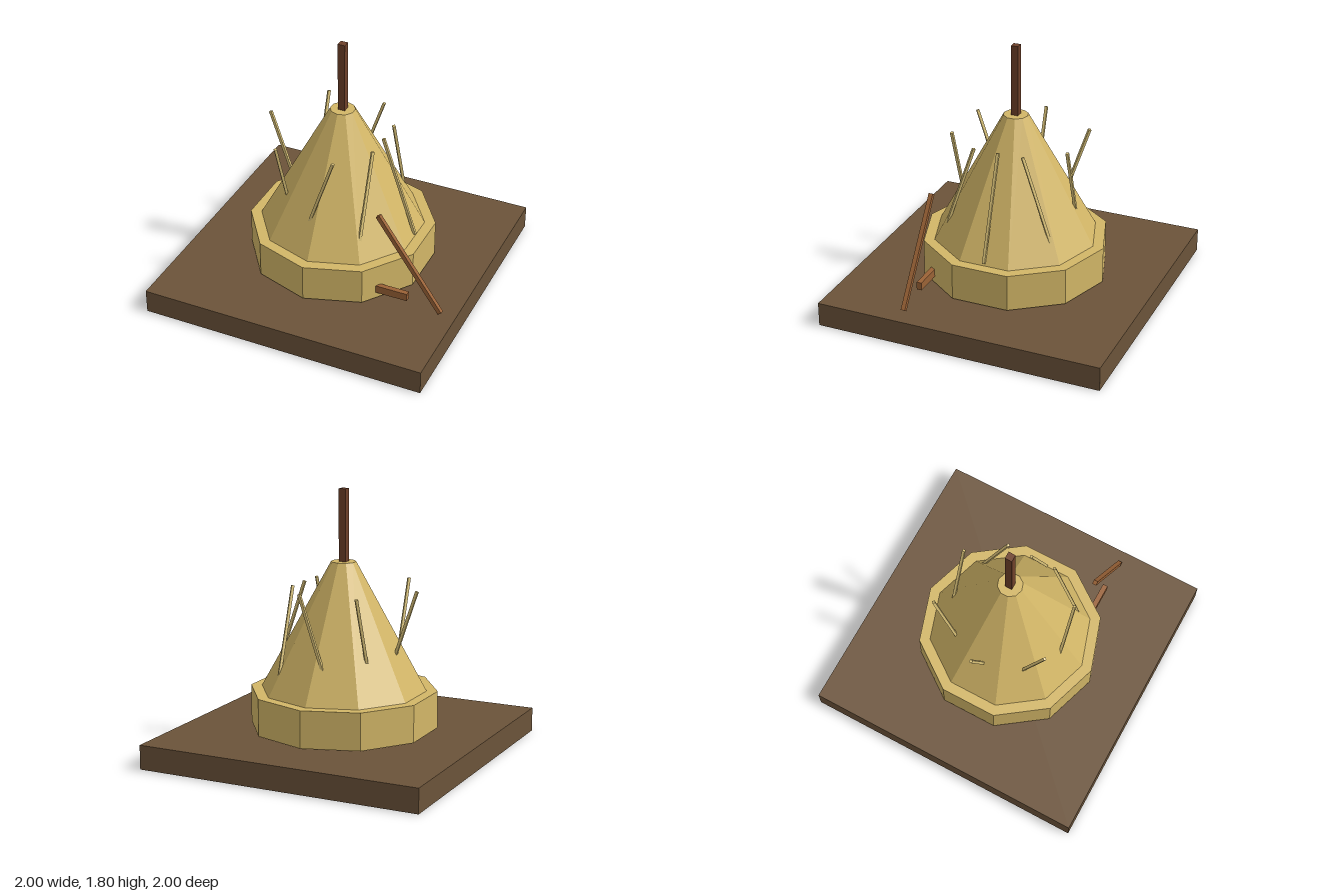
import * as THREE from 'three';

const mat = (color) => new THREE.MeshStandardMaterial({ color, flatShading: true });

export function createModel() {
  const model = new THREE.Group();
  model.name = 'haystack';

  const earth = mat(0x6b5339);
  const hay = mat(0xd2b667);
  const straw = mat(0xdcc47a);
  const darkWood = mat(0x6e412a);
  const wood = mat(0x9a6236);

  const add = (name, geometry, material, x, y, z) => {
    const mesh = new THREE.Mesh(geometry, material);
    mesh.name = name;
    mesh.position.set(x, y, z);
    model.add(mesh);
    return mesh;
  };

  // Ground slab
  add('groundSlab', new THREE.BoxGeometry(2, 0.167, 2), earth, 0, 0.0835, 0);

  // Ten-sided stack: drum below, tapered heap above
  add('stackBase', new THREE.CylinderGeometry(0.64, 0.64, 0.255, 10), hay, 0, 0.3075, 0);
  add('stackHeap', new THREE.CylinderGeometry(0.085, 0.565, 0.875, 10), hay, 0, 0.8725, 0);

  // Centre pole
  add('centrePole', new THREE.BoxGeometry(0.05, 1.633, 0.05), darkWood, 0, 0.9835, 0);

  // Ring of leaning straws; the lean direction turns twice round the ring
  const strawGeometry = new THREE.BoxGeometry(0.019, 0.74, 0.019);
  for (let i = 0; i < 8; i++) {
    const a = (i * Math.PI) / 4;
    const stick = add('straw' + (i + 1), strawGeometry, straw,
      0.416 * Math.cos(a), 0.8, 0.416 * Math.sin(a));
    stick.rotation.set(-0.33 * Math.sin(2 * a), 0, 0.33 * Math.cos(2 * a));
    stick.rotateY(a);
  }

  // Tool leaning beside the stack: handle and crosspiece
  const handle = add('toolHandle', new THREE.BoxGeometry(0.03, 0.79, 0.03), wood, 0.671, 0.517, 0.416);
  handle.rotation.z = 0.61;
  add('toolHead', new THREE.BoxGeometry(0.224, 0.055, 0.036), wood, 0.552, 0.253, 0.416);

  return model;
}
